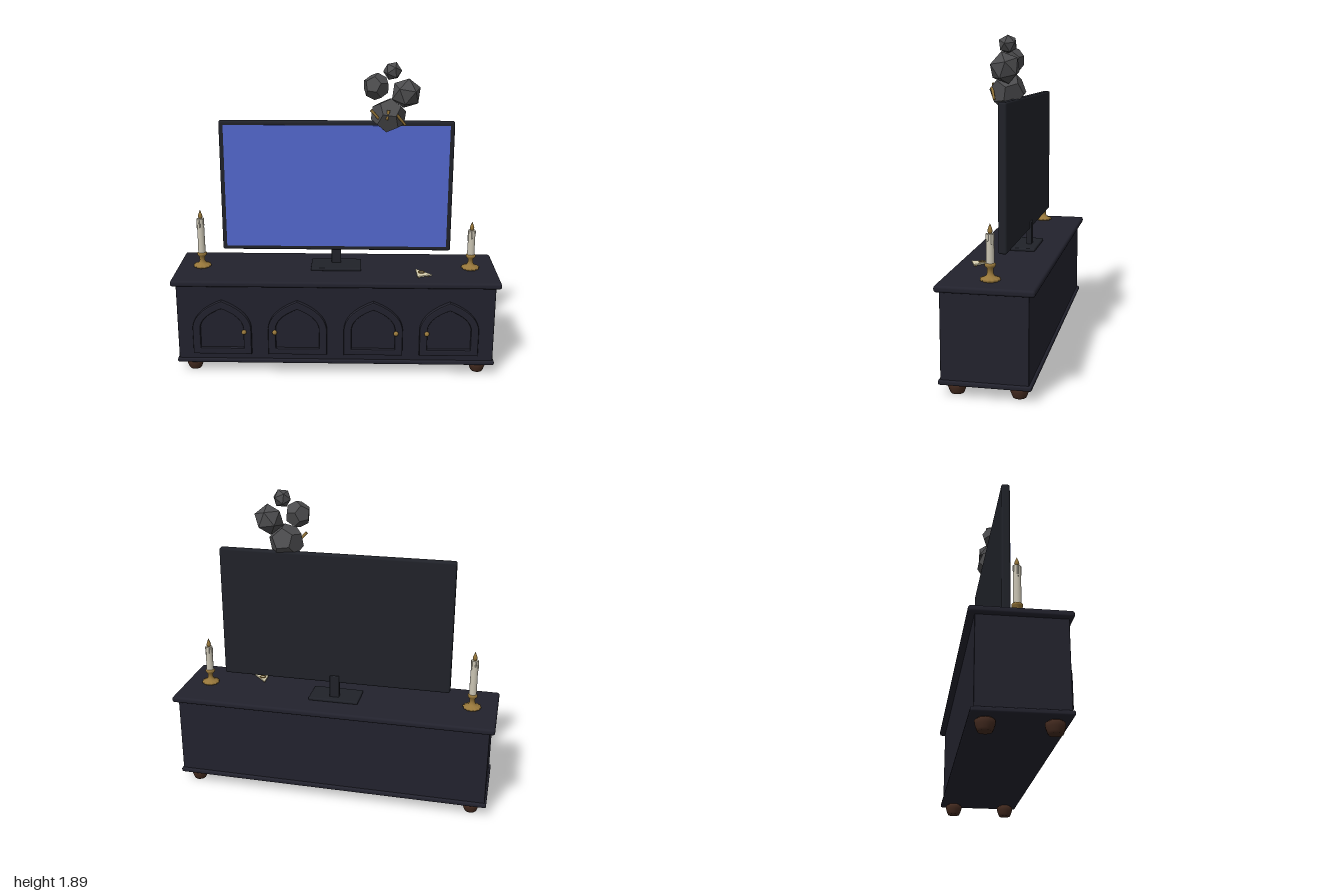
import * as THREE from 'three';
import { RoundedBoxGeometry } from 'three/addons/geometries/RoundedBoxGeometry.js';

const mat = (name, color, extra = {}) => {
  const m = new THREE.MeshStandardMaterial({ color, ...extra });
  m.name = name;
  return m;
};

export function createModel() {
  const wood = mat('dark painted wood', 0x22222d);
  const plastic = mat('television casing', 0x202229);
  const blue = mat('screen blue', 0x5267cc);
  const brown = mat('brown wood', 0x432a1f);
  const gold = mat('old gold', 0x96763a);
  const wax = mat('candle wax', 0xc9c3b2);
  const bone = mat('ivory', 0xd8d0b0);
  const stone = mat('grey stone', 0x4c4c4e, { flatShading: true });

  const model = new THREE.Group();
  const add = (parent, name, geo, material, x = 0, y = 0, z = 0) => {
    const m = new THREE.Mesh(geo, material);
    m.name = name;
    m.position.set(x, y, z);
    parent.add(m);
    return m;
  };
  const group = (name, x = 0, y = 0, z = 0) => {
    const g = new THREE.Group();
    g.name = name;
    g.position.set(x, y, z);
    model.add(g);
    return g;
  };
  // Box given by its limits, with softened edges
  const slab = (parent, name, material, [x0, x1], [y0, y1], [z0, z1], r) =>
    add(parent, name, new RoundedBoxGeometry(x1 - x0, y1 - y0, z1 - z0, 3, r), material,
      (x0 + x1) / 2, (y0 + y1) / 2, (z0 + z1) / 2);
  const lathe = (pts, seg = 24) =>
    new THREE.LatheGeometry(pts.map(([r, y]) => new THREE.Vector2(r, y)), seg);

  // Cabinet
  const cabinet = group('cabinet');
  slab(cabinet, 'cabinetBody', wood, [-0.97, 0.97], [0.08, 0.585], [-0.245, 0.23], 0.004);
  slab(cabinet, 'cabinetTop', wood, [-1, 1], [0.575, 0.612], [-0.28, 0.254], 0.014);
  slab(cabinet, 'cabinetPlinth', wood, [-0.98, 0.98], [0.068, 0.096], [-0.26, 0.242], 0.01);

  // Turned feet
  const footGeo = lathe([[0, 0], [0.036, 0], [0.042, 0.012], [0.05, 0.035], [0.052, 0.055],
    [0.045, 0.062], [0.036, 0.066], [0.036, 0.075], [0, 0.075]], 16);
  for (const x of [-0.885, 0.885])
    for (const z of [-0.18, 0.16]) add(cabinet, 'foot', footGeo, brown, x, 0, z);

  // Pointed-arch doors with raised frames
  const arch = (target, w, bottom, spring, apex) => {
    const mid = spring + (apex - spring) * 0.62;
    target.moveTo(-w, bottom);
    target.lineTo(w, bottom);
    target.lineTo(w, spring);
    target.quadraticCurveTo(w * 0.92, mid, 0, apex);
    target.quadraticCurveTo(-w * 0.92, mid, -w, spring);
    target.lineTo(-w, bottom);
    return target;
  };
  const frameShape = arch(new THREE.Shape(), 0.172, 0.143, 0.31, 0.477);
  frameShape.holes.push(arch(new THREE.Path(), 0.14, 0.168, 0.312, 0.442));
  const frameGeo = new THREE.ExtrudeGeometry(frameShape, {
    depth: 0.02, bevelThickness: 0.007, bevelSize: 0.008, bevelSegments: 2, curveSegments: 10 });
  const panelGeo = new THREE.ExtrudeGeometry(arch(new THREE.Shape(), 0.138, 0.166, 0.312, 0.444),
    { depth: 0.01, bevelEnabled: false, curveSegments: 10 });
  for (const [x, knobX] of [[-0.695, -0.558], [-0.232, -0.37], [0.232, 0.37], [0.695, 0.558]]) {
    add(cabinet, 'doorFrame', frameGeo, wood, x, 0, 0.23);
    add(cabinet, 'doorPanel', panelGeo, wood, x, 0, 0.228);
    add(cabinet, 'doorKnob', new THREE.SphereGeometry(0.015, 14, 10), gold, knobX, 0.287, 0.265);
  }

  // Television on its stand
  const tv = group('television');
  slab(tv, 'televisionCasing', plastic, [-0.712, 0.712], [0.722, 1.538], [-0.075, -0.026], 0.012);
  add(tv, 'screen', new THREE.BoxGeometry(1.37, 0.765, 0.006), blue, 0, 1.131, -0.026);
  slab(tv, 'standNeck', plastic, [-0.03, 0.03], [0.615, 0.77], [-0.085, -0.052], 0.006);
  slab(tv, 'standBase', plastic, [-0.157, 0.157], [0.61, 0.63], [-0.128, 0.055], 0.008);

  // Candlesticks: fluted dish, stem, cup, candle and flame
  const dishGeo = lathe([[0, 0], [0.046, 0], [0.054, 0.008], [0.053, 0.016], [0.034, 0.022],
    [0.022, 0.03], [0.016, 0.045], [0.017, 0.068], [0.029, 0.08], [0.03, 0.092],
    [0.022, 0.098], [0, 0.098]], 72);
  const p = dishGeo.attributes.position;
  for (let i = 0; i < p.count; i++) {
    if (p.getY(i) > 0.018) continue;
    const k = 1 + 0.05 * Math.cos(12 * Math.atan2(p.getZ(i), p.getX(i)));
    p.setX(i, p.getX(i) * k);
    p.setZ(i, p.getZ(i) * k);
  }
  dishGeo.computeVertexNormals();
  const flameGeo = lathe([[0, 0], [0.01, 0.003], [0.014, 0.016], [0.01, 0.032], [0, 0.057]], 12);
  for (const [x, height] of [[-0.845, 0.222], [0.84, 0.158]]) {
    const g = group('candlestick', x, 0.61, -0.013);
    add(g, 'holder', dishGeo, gold);
    add(g, 'candle', new THREE.CylinderGeometry(0.021, 0.023, height, 20), wax, 0, 0.096 + height / 2);
    for (let i = 0; i < 5; i++) {
      const a = i * 1.3 + 0.4, len = 0.03 + 0.016 * (i % 3);
      add(g, 'waxDrip', new THREE.CapsuleGeometry(0.005, len, 3, 8), wax,
        Math.cos(a) * 0.02, 0.092 + height - len / 2, Math.sin(a) * 0.02);
    }
    add(g, 'flame', flameGeo, gold, 0, 0.094 + height);
  }

  // Small triangular ivory board with a ringed eye
  const board = group('triangleBoard', 0.525, 0.62, 0.113);
  const tri = new THREE.Shape([[-0.03, 0.063], [-0.025, -0.06], [0.06, -0.027]]
    .map(([x, y]) => new THREE.Vector2(x, y)));
  const triGeo = new THREE.ExtrudeGeometry(tri, { depth: 0.008, bevelThickness: 0.001, bevelSize: 0.003, bevelSegments: 1 });
  add(board, 'boardPlate', triGeo, bone).rotation.x = -Math.PI / 2;
  add(board, 'boardRing', new THREE.TorusGeometry(0.017, 0.004, 8, 24), gold, 0, 0.01, -0.005)
    .rotation.x = Math.PI / 2;
  for (const [x, z] of [[-0.022, -0.042], [-0.018, 0.045], [0.04, 0.022]])
    add(board, 'boardFoot', new THREE.SphereGeometry(0.007, 10, 8), gold, x, -0.003, z);

  // Cluster of faceted stones above the screen
  const stones = group('stoneCluster');
  for (const [x, y, z, r, geo, rx, ry, rz] of [
    [0.31, 1.582, 0.002, 0.107, THREE.DodecahedronGeometry, 0.3, 0.5, 0.2],
    [0.235, 1.752, 0, 0.08, THREE.DodecahedronGeometry, 0.6, 0.2, 0.5],
    [0.413, 1.712, -0.003, 0.092, THREE.IcosahedronGeometry, 0.4, 0.9, 0.3],
    [0.33, 1.842, -0.002, 0.056, THREE.IcosahedronGeometry, 0.1, 0.4, 0.1],
  ]) add(stones, 'stone', new geo(r, 0), stone, x, y, z).rotation.set(rx, ry, rz);

  // Gold prongs gripping the large stone
  for (const [a, b] of [
    [[0.205, 1.625, 0.075], [0.258, 1.565, 0.065]],
    [[0.308, 1.625, 0.085], [0.298, 1.57, 0.095]],
    [[0.355, 1.6, 0.085], [0.408, 1.535, 0.06]],
  ]) {
    const from = new THREE.Vector3(...a), to = new THREE.Vector3(...b);
    const dir = to.clone().sub(from);
    const prong = add(stones, 'prong', new THREE.CylinderGeometry(0.007, 0.009, dir.length(), 8), gold);
    prong.position.copy(from).add(to).multiplyScalar(0.5);
    prong.quaternion.setFromUnitVectors(new THREE.Vector3(0, 1, 0), dir.normalize());
  }
  return model;
}
